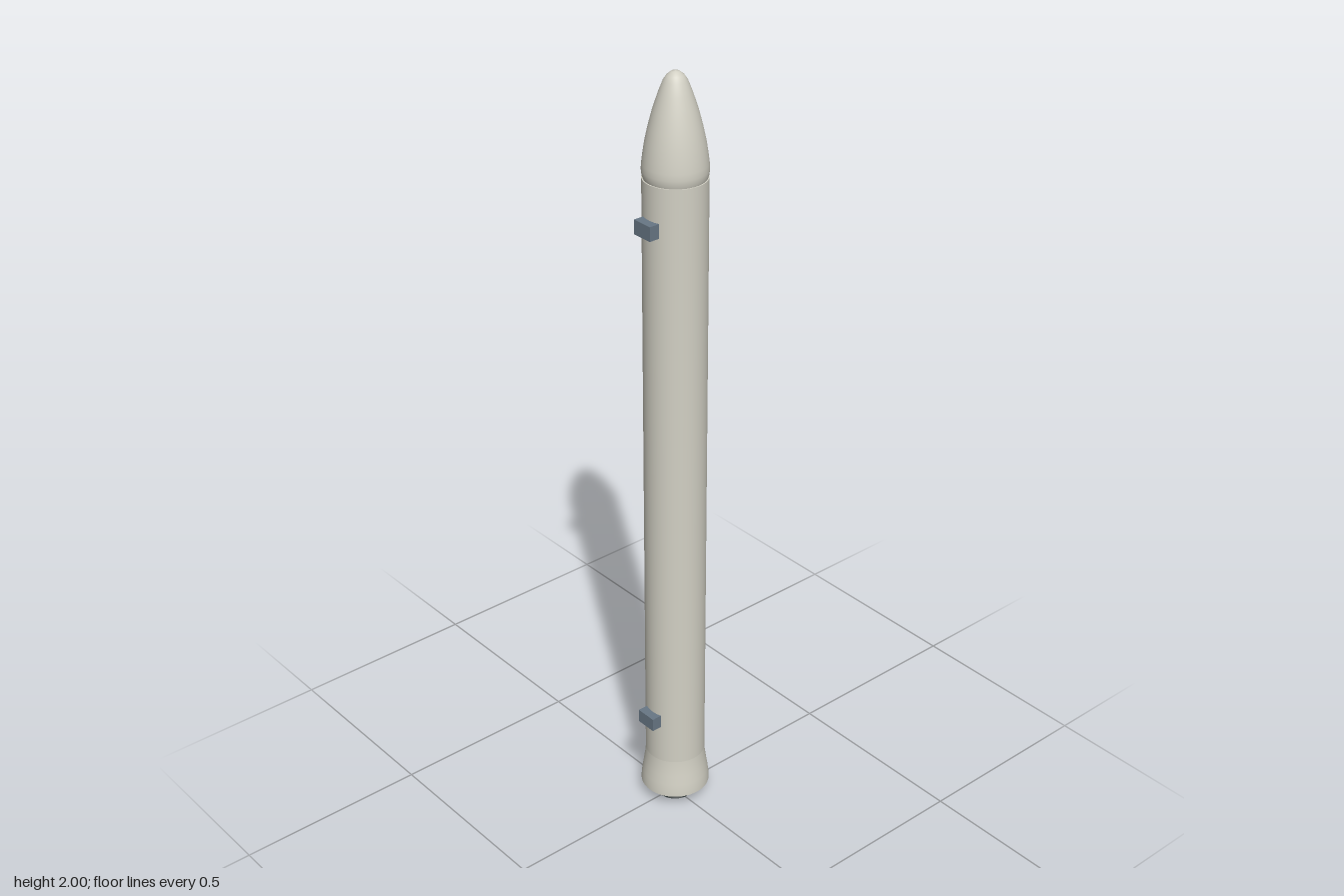
import * as THREE from 'three';

export function createModel() {
  const rocket = new THREE.Group();
  rocket.name = 'rocket';
  const material = (name, color, side = THREE.FrontSide) => {
    const m = new THREE.MeshStandardMaterial({ color, side });
    m.name = name;
    return m;
  };
  const hull = material('warm white hull', 0xd2d0c4);
  const slate = material('slate grey', 0x687785);
  const dark = material('dark engine metal', 0x212b2b, THREE.DoubleSide);
  const rust = material('rust brown', 0x70483e);

  const AXIS_Z = -0.005; // body axis sits behind centre to balance the brackets

  // Turned part from [radius, height] pairs, listed bottom to top
  function turned(name, profile, mat, segments = 64) {
    const points = profile.map(([r, y]) => new THREE.Vector2(r, y));
    const mesh = new THREE.Mesh(new THREE.LatheGeometry(points, segments), mat);
    mesh.name = name;
    mesh.position.z = AXIS_Z;
    rocket.add(mesh);
  }

  // Long tank and flared tail skirt
  turned('bodyTube', [[0.077, 0.145], [0.077, 1.75]], hull);
  turned('tailSkirt', [
    [0.089, 0.04], [0.0885, 0.055], [0.086, 0.075], [0.082, 0.1],
    [0.0785, 0.125], [0.077, 0.145],
  ], hull);
  turned('skirtRim', [[0.083, 0.04], [0.089, 0.04]], rust);
  turned('skirtLining', [[0.077, 0.11], [0.083, 0.04]], hull);
  turned('engineBulkhead', [[0, 0.11], [0.077, 0.11]], hull);
  turned('bodyTopCap', [[0.077, 1.75], [0, 1.75]], hull);

  // Nose fairing with a tucked-in lower edge and a rounded tip
  turned('noseFairing', [
    [0.073, 1.747], [0.0765, 1.757], [0.078, 1.77], [0.077, 1.785],
    [0.0745, 1.805], [0.07, 1.835], [0.0625, 1.87], [0.052, 1.91],
    [0.039, 1.95], [0.028, 1.978], [0.02, 1.99], [0.01, 1.998], [0, 2],
  ], hull);

  // Engine: mount, throat and flared open bell
  turned('engineMount', [[0.013, 0.07], [0.03, 0.085], [0.03, 0.11]], dark, 32);
  turned('engineBell', [
    [0.048, 0], [0.038, 0.015], [0.029, 0.03], [0.02, 0.047], [0.013, 0.07],
  ], dark, 32);
  turned('engineThroat', [[0, 0.06], [0.016, 0.06]], dark, 32);

  // Attachment brackets on the front
  for (const [name, y] of [['lowerBracket', 0.271], ['upperBracket', 1.646]]) {
    const bracket = new THREE.Mesh(new THREE.BoxGeometry(0.056, 0.036, 0.03), slate);
    bracket.name = name;
    bracket.position.set(0, y, 0.079);
    rocket.add(bracket);
  }

  return rocket;
}
